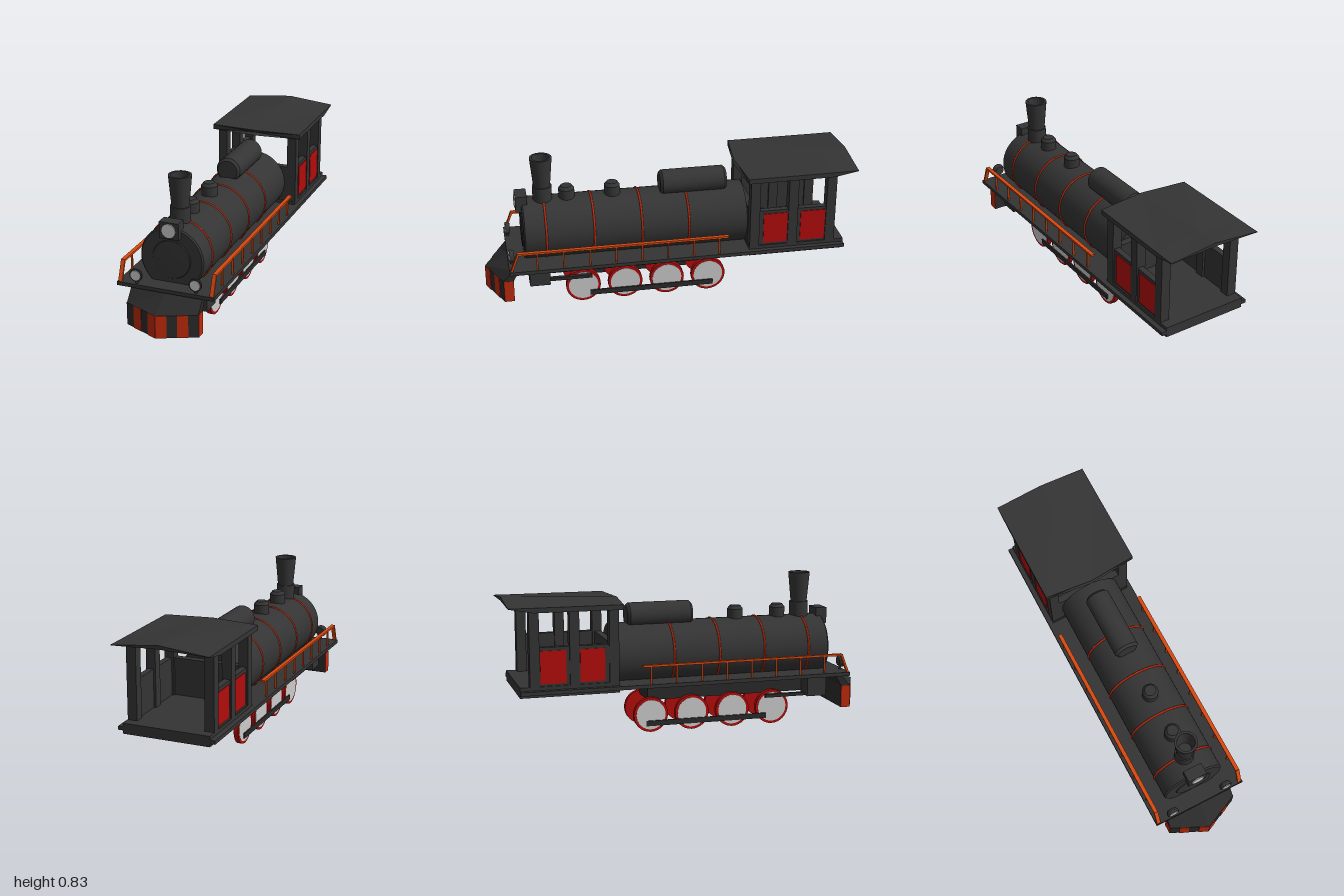
import * as THREE from 'three';
import { toCreasedNormals } from 'three/addons/utils/BufferGeometryUtils.js';

const paint = (color) => new THREE.MeshStandardMaterial({ color });

export function createModel() {
  const model = new THREE.Group();
  const dark = paint(0x343434), deep = paint(0x2a2a2a), red = paint(0xb30c0c);
  const orange = paint(0xd9480f), stripe = paint(0xbd2a0c), light = paint(0xcccccc);

  const add = (name, geo, mat, x = 0, y = 0, z = 0) => {
    const mesh = new THREE.Mesh(geo, mat);
    mesh.name = name;
    mesh.position.set(x, y, z);
    model.add(mesh);
    return mesh;
  };
  // Box from its limits on each axis
  const box = (name, mat, x0, x1, y0, y1, z0, z1) =>
    add(name, new THREE.BoxGeometry(Math.abs(x1 - x0), y1 - y0, Math.abs(z1 - z0)), mat,
      (x0 + x1) / 2, (y0 + y1) / 2, (z0 + z1) / 2);
  // Turned part from [radius, height] points, edges kept sharp
  const turned = (points, sides = 32) => toCreasedNormals(
    new THREE.LatheGeometry(points.map(([r, h]) => new THREE.Vector2(r, h)), sides), 0.5);
  const alongZ = (geo) => geo.rotateX(Math.PI / 2);
  // Closed solid through cross-sections, counterclockwise seen from the last one
  const loft = (rings) => {
    const out = [], n = rings[0].length;
    const tri = (a, b, c) => out.push(...a, ...b, ...c);
    const middle = (ring) => [0, 1, 2].map((k) => ring.reduce((s, p) => s + p[k], 0) / n);
    const first = rings[0], last = rings[rings.length - 1];
    for (let j = 0; j < n; j++) {
      const k = (j + 1) % n;
      for (let i = 0; i < rings.length - 1; i++) {
        const [lo, hi] = [rings[i], rings[i + 1]];
        tri(lo[j], lo[k], hi[k]);
        tri(lo[j], hi[k], hi[j]);
      }
      tri(middle(first), first[k], first[j]);
      tri(middle(last), last[j], last[k]);
    }
    const geo = new THREE.BufferGeometry();
    geo.setAttribute('position', new THREE.Float32BufferAttribute(out, 3));
    geo.computeVertexNormals();
    return geo;
  };

  // Boiler with front door and bands
  add('boiler', alongZ(turned([[0, -0.42], [0.17, -0.42], [0.17, 0.78], [0.163, 0.788], [0, 0.788]], 40)),
    dark, 0, 0.42, 0);
  add('boilerDoor', alongZ(turned([[0.105, 0.785], [0.1, 0.793], [0, 0.796]])), dark, 0, 0.42, 0);
  for (const z of [0.668, 0.412, 0.155, -0.1])
    add('boilerBand', new THREE.TorusGeometry(0.17, 0.006, 6, 48), stripe, 0, 0.42, z);

  // Chimney, domes and tank on top of the boiler
  add('chimney', turned([[0.052, 0.55], [0.052, 0.665], [0.045, 0.665], [0.06, 0.828],
    [0.047, 0.828], [0.034, 0.7], [0, 0.7]], 24), dark, 0, 0, 0.67);
  for (const z of [0.54, 0.294])
    add('dome', turned([[0.043, 0.56], [0.043, 0.638], [0.03, 0.655], [0, 0.655]], 24), dark, 0, 0, z);
  add('tank', alongZ(turned([[0, -0.328], [0.055, -0.328], [0.068, -0.314], [0.068, 0.023],
    [0.055, 0.037], [0, 0.037]])), dark, 0, 0.628, 0);

  // Headlight
  box('headlightCase', dark, -0.052, 0.052, 0.54, 0.628, 0.755, 0.818);
  add('headlightLens', alongZ(new THREE.CylinderGeometry(0.036, 0.036, 0.01, 28)), light, 0, 0.585, 0.818);

  // Running board and frame
  box('runningBoard', dark, -0.262, 0.262, 0.275, 0.295, -0.945, 0.878);
  box('frame', deep, -0.083, 0.083, 0.17, 0.275, -0.23, 0.66);

  for (const s of [1, -1]) {
    // Lanterns
    add('lanternPost', new THREE.CylinderGeometry(0.008, 0.008, 0.04, 8), dark, s * 0.16, 0.305, 0.86);
    add('lantern', alongZ(turned([[0, -0.016], [0.025, -0.016], [0.034, 0], [0.034, 0.01], [0, 0.01]], 24)),
      dark, s * 0.16, 0.342, 0.862);
    add('lanternLens', alongZ(new THREE.CylinderGeometry(0.026, 0.026, 0.006, 24)), light,
      s * 0.16, 0.342, 0.873);

    // Handrail with sloping front end and posts
    box('handrail', orange, s * 0.236, s * 0.257, 0.388, 0.399, -0.3, 0.832);
    const slope = add('handrailEnd', new THREE.BoxGeometry(0.021, 0.116, 0.011), orange,
      s * 0.2465, 0.342, 0.849);
    slope.rotation.x = -0.38;
    slope.rotation.x *= -1;
    slope.rotation.x = Math.atan2(-0.04, 0.105);
    for (let i = 0; i < 8; i++) {
      const z = 0.73 - i * 0.14;
      box('handrailPost', orange, s * 0.242, s * 0.252, 0.29, 0.39, z - 0.004, z + 0.004);
    }

    // Cylinder block, piston rod, wheels and coupling rod
    box('cylinderBlock', dark, s * 0.08, s * 0.18, 0.155, 0.275, 0.66, 0.77);
    box('pistonRod', deep, s * 0.118, s * 0.138, 0.152, 0.17, 0.43, 0.66);
    for (const z of [0.476, 0.245, 0.013, -0.218]) {
      const wheel = new THREE.CylinderGeometry(0.095, 0.095, 0.026, 32).rotateZ(Math.PI / 2);
      const disc = new THREE.CylinderGeometry(0.081, 0.081, 0.004, 32).rotateZ(Math.PI / 2);
      add('wheel', wheel, red, s * 0.1, 0.095, z);
      add('wheelDisc', disc, light, s * 0.1125, 0.095, z);
    }
    box('couplingRod', deep, s * 0.112, s * 0.122, 0.034, 0.063, -0.245, 0.44);

    // Cab pillars and side walls with red panels
    for (const z of [-0.42, -0.63, -0.84])
      box('cabPillar', dark, s * 0.183, s * 0.235, 0.3, 0.712, z - 0.052, z);
    for (const [z0, z1] of [[-0.635, -0.47], [-0.845, -0.675]]) {
      box('cabSideWall', dark, s * 0.195, s * 0.228, 0.3, 0.518, z0, z1);
      box('cabSidePanel', red, s * 0.22, s * 0.232, 0.326, 0.5, z0 + 0.008, z1 - 0.025);
    }
  }

  // Cab floor and front wall
  box('cabFloor', dark, -0.235, 0.235, 0.258, 0.314, -0.945, -0.418);
  box('cabFrontWall', dark, -0.185, 0.185, 0.3, 0.517, -0.46, -0.422);

  // Cab roof: flat front eave rising to a thin peaked rear edge
  const roofSection = (z, zMid, low, lowMid, eave, ridge) => [
    [-0.26, low, z], [0, lowMid, zMid], [0.26, low, z],
    [0.26, eave, z], [0, ridge, zMid], [-0.26, eave, z]];
  add('cabRoof', loft([
    roofSection(-1, -1, 0.727, 0.75, 0.73, 0.756),
    roofSection(-0.87, -0.87, 0.703, 0.712, 0.729, 0.751),
    roofSection(-0.4, -0.375, 0.7, 0.7, 0.727, 0.731),
  ]), dark);

  // Pointed plough: striped lower body and sloping upper plate
  const footprint = (y, tip, corner, back, w = 0.193) => [
    [0, y, tip], [w, y, corner], [w, y, back], [-w, y, back], [-w, y, corner]];
  add('plough', loft([
    footprint(0.083, 0.998, 0.91, 0.857),
    footprint(0.205, 0.998, 0.91, 0.857),
    footprint(0.27, 0.87, 0.855, 0.82),
  ]), deep);
  const lean = Math.atan2(0.088, 0.193);
  for (const s of [1, -1]) {
    for (const [a, b] of [[0, 0.05], [0.097, 0.147]]) {
      const x = (a + b) / 2;
      const panel = add('ploughStripe', new THREE.BoxGeometry((b - a) / Math.cos(lean), 0.122, 0.004),
        stripe, s * x, 0.144, 0.998 - x * Math.tan(lean));
      panel.rotation.y = s * lean;
    }
    box('ploughSideStripe', stripe, s * 0.191, s * 0.195, 0.083, 0.205, 0.857, 0.91);
  }
  return model;
}
